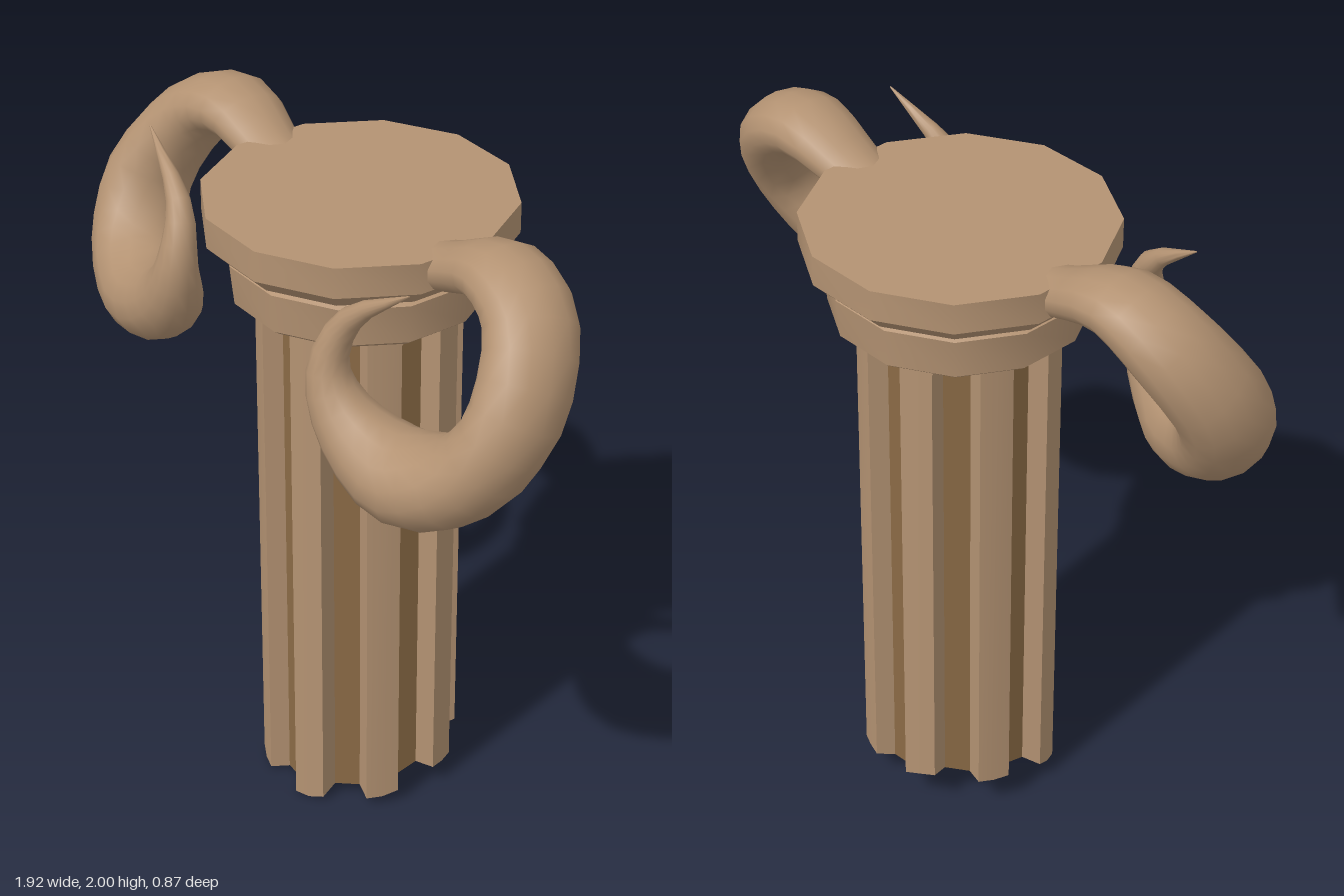
import * as THREE from 'three';
import { toCreasedNormals } from 'three/addons/utils/BufferGeometryUtils.js';

const STONE = 0xb39272, DARK = 0x8a6a45;
const CZ = -0.015; // column axis

// Skin closed rings of points; keep(j) chooses which columns of faces to make
function loft(rings, { flip = false, crease = 0.5, keep = () => true } = {}) {
  const n = rings[0].length, index = [];
  for (let i = 0; i < rings.length - 1; i++) {
    for (let j = 0; j < n; j++) {
      if (!keep(j)) continue;
      const a = i * n + j, b = i * n + (j + 1) % n, c = b + n, d = a + n;
      if (flip) index.push(a, c, b, a, d, c);
      else index.push(a, b, c, a, c, d);
    }
  }
  const g = new THREE.BufferGeometry().setFromPoints(rings.flat());
  g.setIndex(index);
  return toCreasedNormals(g, crease);
}

function part(name, geometry, color) {
  const m = new THREE.Mesh(geometry, new THREE.MeshStandardMaterial({ color, side: THREE.DoubleSide }));
  m.name = name;
  return m;
}

// Fluted shaft with a jagged broken lower end
function makeShaft(group) {
  const R = 0.29, F = 0.237, deg = Math.PI / 180;
  const section = [[-13, R], [-9, F], [9, F], [13, R], [22.5, R]];
  const outline = [];
  for (let k = 0; k < 8; k++) {
    for (const [a, r] of section) outline.push([(k * 45 + a) * deg, r]);
  }
  const ring = (yAt, rAt = r => r) => outline.map(([a, r], j) => {
    const rr = rAt(r), x = rr * Math.sin(a), z = rr * Math.cos(a);
    return new THREE.Vector3(x, yAt(x, z, j), z + CZ);
  });
  const noise = (j, s) => Math.sin(j * 12.9 + s * 4.7) * 0.6 + Math.sin(j * 5.3 + s) * 0.4;
  const broken = (lift, amp, s) => (x, z, j) =>
    Math.max(0, 0.06 - 0.17 * z - 0.06 * x + lift + amp * noise(j, s));

  const edge = ring(broken(0, 0.025, 1));
  const walls = [edge, ring(() => 1.57), ring(() => 1.60, () => R), ring(() => 1.62, () => R)];
  const isFloor = j => j % 5 === 1;
  group.add(part('shaft', loft(walls, { keep: j => !isFloor(j) }), STONE));
  group.add(part('fluteFloors', loft(walls, { keep: isFloor }), DARK));

  const breakRings = [
    ring(() => 0.09, () => 0),
    ring(broken(0.0, 0.03, 5), r => r * 0.33),
    ring(broken(0.045, 0.03, 3), r => r * 0.7),
    edge,
  ];
  group.add(part('brokenBase', loft(breakRings, { crease: 0.2 }), DARK));
}

// Twelve-sided collar and top slab
function makeCapital(group) {
  const profile = [
    [0, 1.61], [0.345, 1.61], [0.365, 1.625], [0.375, 1.74], [0.35, 1.755],
    [0.35, 1.765], [0.395, 1.765], [0.44, 1.81], [0.44, 1.9], [0, 1.9],
  ].map(p => new THREE.Vector2(...p));
  const g = new THREE.LatheGeometry(profile, 12, Math.PI / 12);
  const m = part('capital', toCreasedNormals(g, 0.6), STONE);
  m.position.z = CZ;
  group.add(m);
}

// Curled horn with an oval section: x, y, z, radial and sideways half-widths
const HORN = [
  [0.30, 1.81, -0.015, 0.07, 0.085],
  [0.42, 1.855, -0.015, 0.065, 0.095],
  [0.61, 1.92, -0.02, 0.08, 0.125],
  [0.77, 1.84, 0.01, 0.1, 0.135],
  [0.852, 1.65, 0.12, 0.107, 0.14],
  [0.78, 1.48, 0.21, 0.12, 0.145],
  [0.61, 1.41, 0.28, 0.13, 0.145],
  [0.44, 1.49, 0.33, 0.1, 0.1],
  [0.36, 1.64, 0.35, 0.058, 0.06],
  [0.405, 1.80, 0.31, 0.035, 0.035],
  [0.60, 1.94, 0.27, 0.002, 0.002],
];

function makeHorn(side) {
  const path = new THREE.CatmullRomCurve3(HORN.map(([x, y, z]) => new THREE.Vector3(x, y, z)));
  const size = new THREE.CatmullRomCurve3(HORN.map(h => new THREE.Vector3(h[3], h[4], 0)));
  path.curveType = size.curveType = 'catmullrom';
  const rings = [], steps = 30, sides = 14;
  for (let i = 0; i <= steps; i++) {
    const t = i / steps, p = path.getPoint(t), s = size.getPoint(t), T = path.getTangent(t);
    const V = new THREE.Vector3(0, 0, 1).addScaledVector(T, -T.z).normalize();
    const U = new THREE.Vector3().crossVectors(V, T);
    rings.push(Array.from({ length: sides }, (_, j) => {
      const a = j / sides * Math.PI * 2;
      const q = p.clone().addScaledVector(U, Math.cos(a) * s.x).addScaledVector(V, Math.sin(a) * s.y);
      q.x *= side;
      return q;
    }));
  }
  return loft(rings, { flip: side < 0, crease: 1.2 });
}

export function createModel() {
  const group = new THREE.Group();
  group.name = 'hornedColumn';
  makeShaft(group);
  makeCapital(group);
  group.add(part('leftHorn', makeHorn(1), STONE));
  group.add(part('rightHorn', makeHorn(-1), STONE));
  return group;
}
